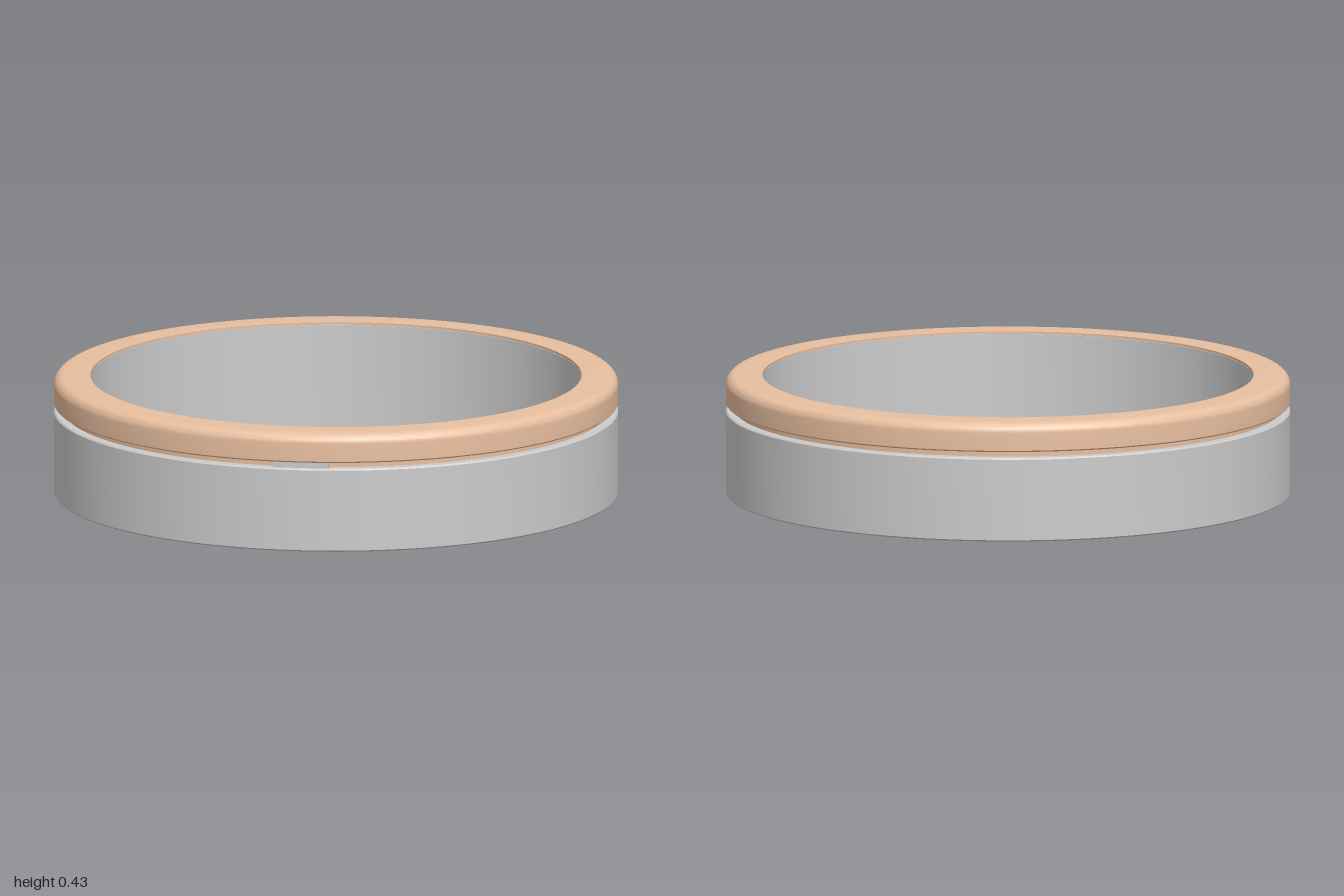
import * as THREE from 'three';
import { toCreasedNormals } from 'three/addons/utils/BufferGeometryUtils.js';

const grey = new THREE.MeshStandardMaterial({ color: 0xcccccc });
const copper = new THREE.MeshStandardMaterial({ color: 0xe8bf9f });

// Closed ring turned from a cross-section listed counter-clockwise as [radius, y]
function ring(name, section, material) {
  const points = [...section, section[0]].map(([r, y]) => new THREE.Vector2(r, y));
  const geometry = toCreasedNormals(new THREE.LatheGeometry(points, 160), 0.6);
  const mesh = new THREE.Mesh(geometry, material);
  mesh.name = name;
  return mesh;
}

export function createModel() {
  const group = new THREE.Group();
  group.name = 'twoPartRing';

  // Base band with a thin inner sleeve rising inside the cap
  group.add(ring('baseBand', [
    [0.87, 0], [0.995, 0], [1, 0.005], [1, 0.295], [0.995, 0.3],
    [0.93, 0.3], [0.93, 0.415], [0.87, 0.415],
  ], grey));

  // Cap ring: recessed skirt, overhanging rim and rounded top edge
  const cap = [[0.87, 0.416], [0.931, 0.416], [0.931, 0.301], [0.968, 0.301], [0.968, 0.322], [0.995, 0.322], [1, 0.327]];
  const fillet = 0.035;
  for (let i = 0; i <= 8; i++) {
    const a = (i / 8) * Math.PI / 2;
    cap.push([1 - fillet + fillet * Math.cos(a), 0.425 - fillet + fillet * Math.sin(a)]);
  }
  cap.push([0.87, 0.425]);
  group.add(ring('capRing', cap, copper));

  // Small locating tab in the groove at the front
  const tab = new THREE.Mesh(new THREE.BoxGeometry(0.2, 0.035, 0.055), grey);
  tab.name = 'locatingTab';
  tab.position.set(0, 0.3125, 0.9575);
  group.add(tab);

  return group;
}
